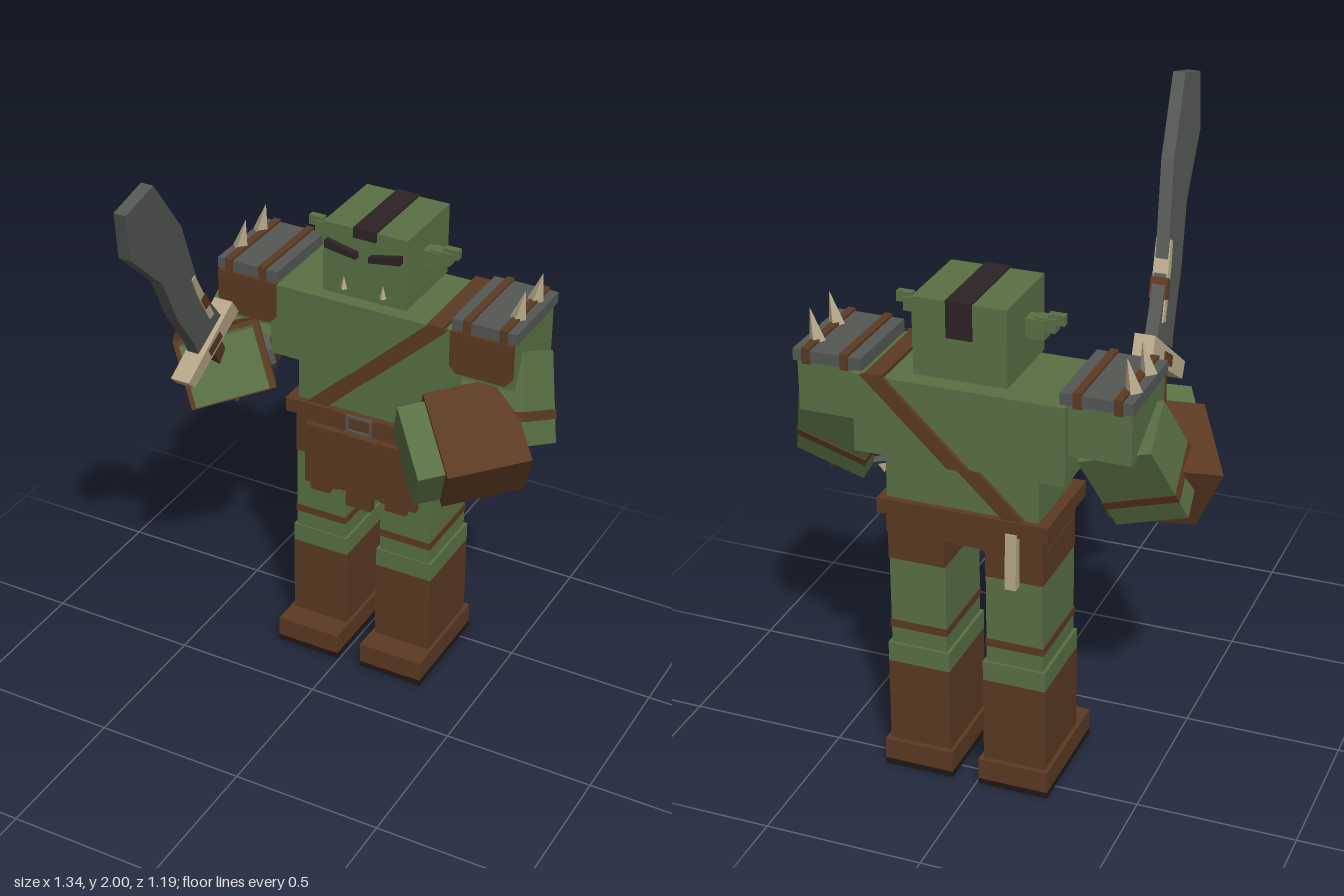
import * as THREE from 'three';

const mat = (name, color) => Object.assign(new THREE.MeshStandardMaterial({ color, flatShading: true }), { name });
const V = (a) => new THREE.Vector3(...a);

export function createModel() {
  const root = new THREE.Group();
  root.name = 'warrior';
  const skin = mat('greenSkin', 0x597044);
  const leather = mat('brownLeather', 0x5b3a22);
  const metal = mat('greyMetal', 0x545753);
  const bone = mat('bone', 0xb5a688);
  const hair = mat('blackHair', 0x2c2224);
  const sole = mat('darkSole', 0x1e1717);
  const MID = 0.035; // body's symmetry plane

  const add = (name, geo, m) => {
    const mesh = new THREE.Mesh(geo, m);
    mesh.name = name;
    root.add(mesh);
    return mesh;
  };
  // box from min/max ranges
  const box = (name, m, [x0, x1], [y0, y1], [z0, z1]) => {
    const b = add(name, new THREE.BoxGeometry(x1 - x0, y1 - y0, z1 - z0), m);
    b.position.set((x0 + x1) / 2, (y0 + y1) / 2, (z0 + z1) / 2);
    return b;
  };
  // range on one side: s = 1 left, -1 right, measured from the mid plane
  const side = (s, a, b) => (s > 0 ? [MID + a, MID + b] : [MID - b, MID - a]);
  // geometry oriented by two axes
  const orient = (mesh, c, xd, yd) => {
    const X = V(xd).normalize();
    const Z = X.clone().cross(V(yd)).normalize();
    const Y = Z.clone().cross(X);
    mesh.quaternion.setFromRotationMatrix(new THREE.Matrix4().makeBasis(X, Y, Z));
    mesh.position.copy(V(c));
    return mesh;
  };
  const obox = (name, m, c, xd, yd, size) => orient(add(name, new THREE.BoxGeometry(...size), m), c, xd, yd);
  const along = (c, d, t) => V(c).addScaledVector(V(d).normalize(), t).toArray();
  // flat outline in x,y with thickness in z
  const plate = (name, m, pts, z0, depth) => {
    const shape = new THREE.Shape(pts.map((p) => new THREE.Vector2(...p)));
    const p = add(name, new THREE.ExtrudeGeometry(shape, { depth, bevelEnabled: false }), m);
    p.position.z = z0;
    return p;
  };

  // torso
  box('chest', skin, [-0.29, 0.365], [1.09, 1.34], [-0.58, -0.255]);
  box('abdomen', skin, [-0.2, 0.28], [0.92, 1.09], [-0.55, -0.275]);
  box('belt', leather, [-0.235, 0.305], [0.89, 0.94], [-0.57, -0.25]);
  box('hips', leather, [-0.21, 0.285], [0.82, 0.89], [-0.55, -0.275]);
  for (const y of [0.88, 0.934]) box('buckleBar', metal, [-0.012, 0.08], [y, y + 0.008], [-0.25, -0.242]);
  for (const x of [-0.012, 0.072]) box('buckleBar', metal, [x, x + 0.008], [0.888, 0.934], [-0.25, -0.242]);
  box('beltTail', bone, [-0.14, -0.105], [0.72, 0.9], [-0.58, -0.55]).rotation.x = 0.04;

  // diagonal strap, front and back
  const strap = (y0, y1, z0) => {
    const cx = (y) => -0.125 + (y - 0.94) * 1.05;
    plate('strap', leather, [[cx(y0) - 0.035, y0], [cx(y0) + 0.035, y0], [cx(y1) + 0.035, y1], [cx(y1) - 0.035, y1]], z0, 0.015);
  };
  strap(1.09, 1.345, -0.257);
  strap(1.09, 1.345, -0.593);
  strap(0.935, 1.09, -0.277);
  strap(0.935, 1.09, -0.563);
  box('strapTop', leather, [0.265, 0.32], [1.335, 1.352], [-0.593, -0.242]);

  // loincloth strips with notched ends
  for (const [x0, x1, a, b, yMid, yEnd] of [
    [-0.165, -0.042, -0.145, -0.075, 0.64, 0.615],
    [-0.038, 0.105, -0.013, 0.08, 0.645, 0.59],
    [0.109, 0.24, 0.13, 0.205, 0.64, 0.615],
  ])
    plate('loinclothStrip', leather, [[a, yEnd], [b, yEnd], [b, yMid], [x1, yMid], [x1, 0.86], [x0, 0.86], [x0, yMid], [a, yMid]], -0.275, 0.025);

  // head
  box('head', skin, [-0.11, 0.18], [1.36, 1.6], [-0.56, -0.27]);
  box('neck', skin, [-0.04, 0.11], [1.33, 1.37], [-0.48, -0.35]);
  box('hairTop', hair, [-0.005, 0.075], [1.598, 1.605], [-0.565, -0.265]);
  box('hairFront', hair, [-0.005, 0.075], [1.57, 1.6], [-0.271, -0.265]);
  box('hairBack', hair, [-0.005, 0.075], [1.49, 1.6], [-0.565, -0.559]);
  for (const s of [1, -1]) {
    const brow = [[0.022, 1.505], [0.13, 1.522], [0.13, 1.548], [0.022, 1.524]].map(([x, y]) => [MID + s * x, y]);
    plate('brow', hair, brow, -0.275, 0.027);
    const tusk = add('tusk', new THREE.ConeGeometry(0.012, 0.045, 4), bone);
    tusk.position.set(MID + s * 0.068, 1.41, -0.262);
    box('earBase', skin, side(s, 0.14, 0.205), [1.462, 1.522], [-0.425, -0.375]);
    box('earMiddle', skin, side(s, 0.17, 0.235), [1.485, 1.528], [-0.42, -0.38]);
    box('earTip', skin, side(s, 0.21, 0.26), [1.508, 1.54], [-0.412, -0.388]);
  }

  for (const s of [1, -1]) {
    // legs
    box('trouser', leather, side(s, 0.065, 0.247), [0.73, 0.83], [-0.548, -0.278]);
    box('thigh', skin, side(s, 0.065, 0.245), [0.42, 0.73], [-0.545, -0.28]);
    box('thighBand', leather, side(s, 0.063, 0.248), [0.49, 0.515], [-0.548, -0.277]);
    box('knee', skin, side(s, 0.055, 0.255), [0.37, 0.435], [-0.553, -0.275]);
    box('boot', leather, side(s, 0.055, 0.255), [0.08, 0.37], [-0.553, -0.275]);
    box('foot', leather, side(s, 0.043, 0.268), [0.02, 0.09], [-0.57, -0.19]);
    box('sole', sole, side(s, 0.043, 0.268), [0, 0.02], [-0.57, -0.19]);

    // shoulders
    box('upperArm', skin, side(s, 0.305, 0.515), [1.18, 1.345], [-0.555, -0.268]);
    box('shoulderPlate', metal, side(s, 0.305, 0.522), [1.345, 1.382], [-0.57, -0.262]);
    for (const a of [0.345, 0.467]) box('plateStrap', leather, side(s, a, a + 0.025), [1.34, 1.39], [-0.575, -0.255]);
    const flap = [[0.327, 1.2], [0.495, 1.2], [0.515, 1.225], [0.515, 1.345], [0.305, 1.345], [0.305, 1.225]];
    plate('shoulderFlap', leather, flap.map(([x, y]) => [MID + s * x, y]), -0.267, 0.017);
    for (const z of [-0.49, -0.36]) {
      const spike = add('spike', new THREE.ConeGeometry(0.027, 0.105, 4), bone);
      spike.position.set(s > 0 ? 0.525 : -0.45, 1.43, z);
      spike.rotation.z = -0.2;
    }

    // bent elbow section
    const down = [s * 0.27, -0.86, 0.42];
    const out = [s * 0.947, 0.292, -0.01];
    const c = [s > 0 ? 0.492 : -0.44, 1.09, -0.36];
    obox('elbow', skin, c, out, down, [0.23, 0.29, 0.2]);
    obox('elbowBand', leather, along(c, down, 0.055), out, down, [0.236, 0.03, 0.206]);
  }

  // gauntlet, fist and underside boss; x runs along the forearm toward the hand
  const forearm = (c, axis, up, size, bossDir) => {
    obox('gauntlet', leather, c, axis, up, size);
    obox('fist', skin, along(c, axis, 0.13), axis, up, [0.18, size[1] - 0.03, size[2] - 0.04]);
    const half = Math.abs(V(bossDir).normalize().dot(V(up).normalize())) > 0.5 ? size[1] / 2 : size[2] / 2;
    orient(add('boss', new THREE.CylinderGeometry(0.07, 0.075, 0.02, 8), metal), along(c, bossDir, half + 0.008), axis, bossDir);
    orient(add('bossStud', new THREE.ConeGeometry(0.02, 0.03, 4), bone), along(c, bossDir, half + 0.03), axis, bossDir);
  };
  forearm([0.452, 1.0, -0.214], [-0.2, -0.03, 0.175], [0.065, 0.19, 0.115], [0.267, 0.23, 0.29], [-0.065, -0.19, -0.115]);
  forearm([-0.447, 1.035, -0.225], [0.13, 0.11, 0.22], [-0.095, 0.205, -0.047], [0.277, 0.23, 0.28], [0.78, 0.23, -0.58]);

  // sword pieces: outline in z,y, given a thickness in x, leaning with height
  const swordPart = (name, m, pts, t) => {
    const shape = new THREE.Shape(pts.map((p) => new THREE.Vector2(...p)));
    const g = new THREE.ExtrudeGeometry(shape, { depth: t, bevelEnabled: false });
    g.translate(0, 0, -t / 2).rotateY(-Math.PI / 2);
    const pos = g.attributes.position;
    for (let i = 0; i < pos.count; i++) pos.setX(i, pos.getX(i) - 0.368 + (pos.getY(i) - 1.22) * 0.125);
    g.computeVertexNormals();
    add(name, g, m);
  };
  swordPart('blade', metal, [[0.1, 1.25], [0.13, 1.3], [0.25, 1.45], [0.36, 1.63], [0.55, 1.8], [0.595, 1.965], [0.458, 2.0], [0.278, 1.785], [0.13, 1.5], [-0.02, 1.33]], 0.04);
  swordPart('spineTrim', bone, [[0.15, 1.49], [0.19, 1.56], [0.175, 1.57], [0.03, 1.36], [0.055, 1.355]], 0.048);
  swordPart('spineBinding', leather, [[0.09, 1.41], [0.125, 1.46], [0.105, 1.475], [0.065, 1.42]], 0.054);
  swordPart('guard', bone, [[0.167, 1.18], [0.125, 1.14], [-0.114, 1.3], [-0.065, 1.36]], 0.065);
  swordPart('guardWrap', leather, [[0.06, 1.245], [0.04, 1.215], [-0.02, 1.255], [0.0, 1.285]], 0.07);
  swordPart('grip', leather, [[0.03, 1.25], [-0.165, 0.96], [-0.205, 0.985], [-0.01, 1.275]], 0.04);
  swordPart('pommel', metal, [[-0.145, 0.965], [-0.185, 0.915], [-0.24, 0.955], [-0.205, 1.005]], 0.055);

  return root;
}
